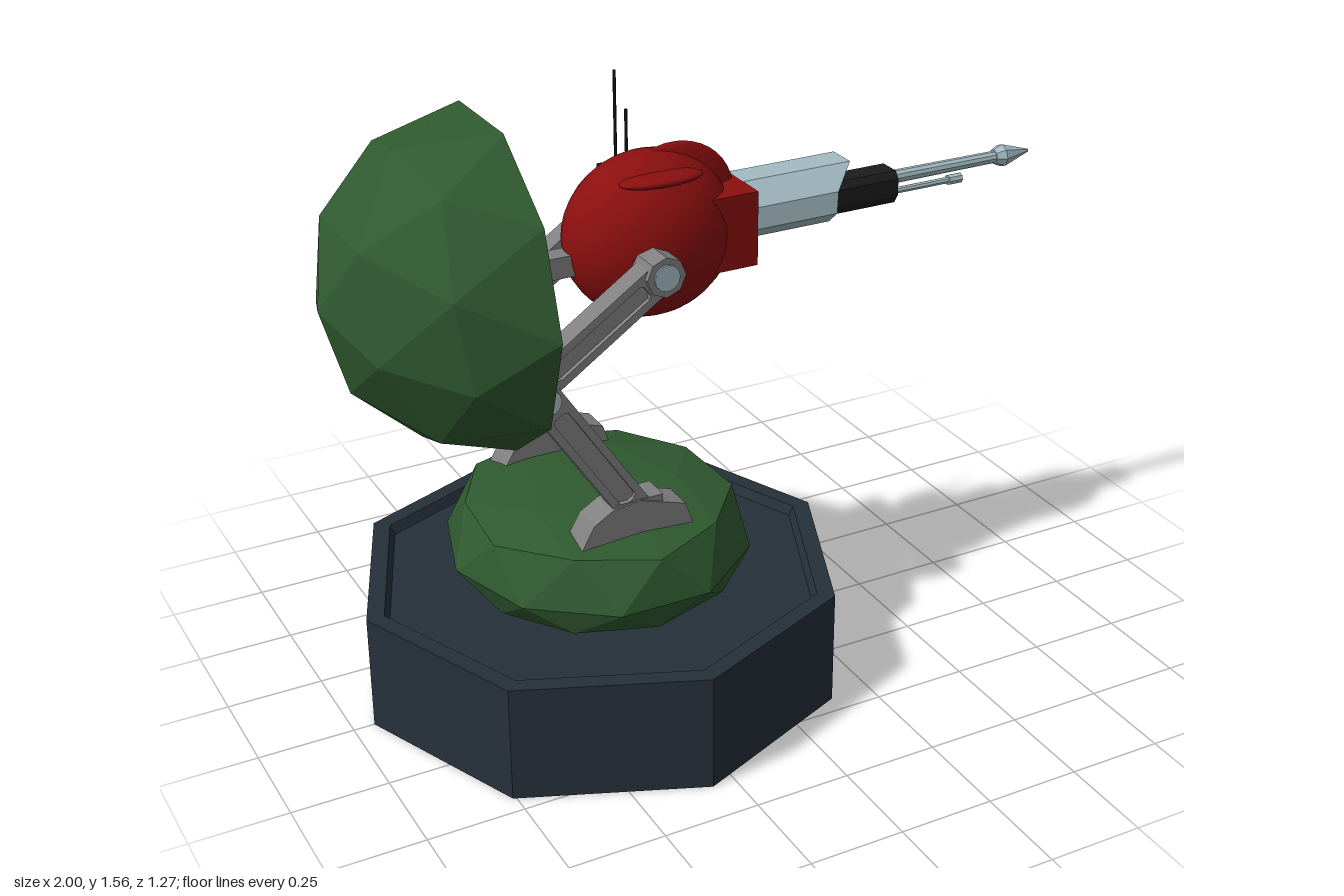
import * as THREE from 'three';

const mat = (color, flatShading = true, side = THREE.FrontSide) =>
  new THREE.MeshStandardMaterial({ color, flatShading, side });
const GREEN = 0x305a30, RED = 0x8c0f0f, NAVY = 0x26303a, STEEL = 0xa3bcc3, BLACK = 0x1c1c1c, GREY = 0x808080;
const MID = -0.015; // z of the body's centre plane

function add(parent, name, geometry, material, x = 0, y = 0, z = 0) {
  const mesh = new THREE.Mesh(geometry, material);
  mesh.name = name;
  mesh.position.set(x, y, z);
  parent.add(mesh);
  return mesh;
}

const polygon = (pts) => new THREE.Shape(pts.map(([x, y]) => new THREE.Vector2(x, y)));

function extrude(shape, depth) {
  return new THREE.ExtrudeGeometry(shape, { depth, bevelEnabled: false });
}

// Rod along x between x0 and x1
function rodX(r0, r1, x0, x1, sides) {
  return new THREE.CylinderGeometry(r1, r0, x1 - x0, sides).rotateZ(-Math.PI / 2).translate((x0 + x1) / 2, 0, 0);
}

// Faceted unit ball with a corner at the top, so its equator is a flat ten-sided ring
function facetBall() {
  return new THREE.IcosahedronGeometry(1, 1).rotateX(-Math.atan((1 + Math.sqrt(5)) / 2));
}

// Upper half of the faceted ball
function facetBowl(radius) {
  const p = facetBall().attributes.position;
  const kept = [];
  for (let i = 0; i < p.count; i += 3) {
    if (p.getY(i) + p.getY(i + 1) + p.getY(i + 2) < 0) continue;
    for (let j = i; j < i + 3; j++) kept.push(p.getX(j) * radius, p.getY(j) * radius, p.getZ(j) * radius);
  }
  const g = new THREE.BufferGeometry();
  g.setAttribute('position', new THREE.Float32BufferAttribute(kept, 3));
  g.computeVertexNormals();
  return g;
}

// Beam from a to b with a recessed panel on both faces
function limb(parent, name, a, b, width, depth, z) {
  const g = new THREE.Group();
  g.name = name;
  const dx = b[0] - a[0], dy = b[1] - a[1];
  const len = Math.hypot(dx, dy) + 0.05;
  const rect = (w, h, c) => [[-w + c, -h], [w - c, -h], [w, -h + c], [w, h - c], [w - c, h], [-w + c, h], [-w, h - c], [-w, -h + c]];
  const frame = polygon(rect(len / 2, width / 2, 0.02));
  frame.holes.push(polygon(rect(len / 2 - 0.08, width / 2 - 0.02, 0.008).reverse()));
  add(g, name + 'Frame', extrude(frame, depth).translate(0, 0, -depth / 2), mat(GREY));
  add(g, name + 'Panel', new THREE.BoxGeometry(len - 0.14, width - 0.03, depth - 0.024), mat(GREY));
  g.position.set((a[0] + b[0]) / 2, (a[1] + b[1]) / 2, z);
  g.rotation.z = Math.atan2(dy, dx);
  parent.add(g);
}

function pin(parent, name, r, depth, color, [x, y], z, sides = 12) {
  add(parent, name, new THREE.CylinderGeometry(r, r, depth, sides).rotateX(Math.PI / 2), mat(color), x, y, z);
}

function createBase(root) {
  const profile = [[0, 0], [0.635, 0], [0.635, 0.31], [0.588, 0.31], [0.575, 0.285], [0, 0.285]];
  const plinth = new THREE.LatheGeometry(profile.map(([x, y]) => new THREE.Vector2(x, y)), 8);
  add(root, 'octagonBase', plinth, mat(NAVY), -0.31, 0, 0);

  // Squashed mound, fuller above its widest ring
  const mound = facetBall();
  const p = mound.attributes.position;
  for (let i = 0; i < p.count; i++) {
    const v = p.getY(i);
    p.setXYZ(i, p.getX(i) * 0.392, 0.385 + 0.165 * (v > 0.001 ? v ** 0.45 : v), p.getZ(i) * 0.413);
  }
  mound.computeVertexNormals();
  add(root, 'mound', mound, mat(GREEN), -0.31, 0, 0);
}

function createShield(root) {
  const shield = new THREE.Group();
  shield.name = 'shield';
  add(shield, 'shieldOuter', facetBowl(0.425), mat(GREEN));
  add(shield, 'shieldInner', facetBowl(0.408), mat(GREEN, true, THREE.BackSide));
  add(shield, 'shieldRim', new THREE.RingGeometry(0.408, 0.425, 10).rotateX(Math.PI / 2), mat(GREEN));
  const turn = new THREE.Matrix4().makeBasis(
    new THREE.Vector3(0, 0, 1), new THREE.Vector3(-1, 0, 0), new THREE.Vector3(0, -1, 0));
  shield.quaternion.setFromRotationMatrix(turn);
  shield.position.set(-0.575, 1.155, -0.01);
  root.add(shield);
  add(root, 'shieldStrut', new THREE.BoxGeometry(0.66, 0.056, 0.056), mat(GREY), -0.62, 1.15, -0.018);
}

function createLegs(root) {
  const shoulder = [-0.21, 1.165], knee = [-0.55, 0.935], ankle = [-0.31, 0.57];
  const footShape = polygon([[-0.5, 0.47], [-0.44, 0.575], [-0.39, 0.605], [-0.315, 0.615], [-0.19, 0.575],
    [-0.16, 0.49], [-0.2, 0.465], [-0.25, 0.5], [-0.36, 0.5], [-0.42, 0.46]]);
  for (const s of [1, -1]) {
    const leg = new THREE.Group();
    leg.name = s > 0 ? 'leftLeg' : 'rightLeg';
    leg.position.z = -0.012;
    limb(leg, 'upperArm', knee, shoulder, 0.085, 0.06, s * 0.182);
    limb(leg, 'lowerLeg', ankle, knee, 0.085, 0.058, s * 0.243);
    pin(leg, 'shoulderJoint', 0.052, 0.09, GREY, shoulder, s * 0.18, 8);
    pin(leg, 'shoulderCap', 0.034, 0.1, STEEL, shoulder, s * 0.18);
    pin(leg, 'kneePin', 0.034, 0.135, STEEL, knee, s * 0.213);
    add(leg, 'foot', extrude(footShape, 0.085), mat(GREY), 0, 0, s * 0.236 - 0.0425);
    add(leg, 'ankleBlock', new THREE.BoxGeometry(0.13, 0.08, 0.075), mat(GREY), -0.315, 0.575, s * 0.236);
    root.add(leg);
  }
}

function createBody(root) {
  const ellipsoid = (rx, ry, rz) => new THREE.SphereGeometry(1, 32, 20).scale(rx, ry, rz);
  const red = mat(RED, false);
  add(root, 'body', ellipsoid(0.225, 0.213, 0.166), red, -0.145, 1.188, MID);
  add(root, 'crest', ellipsoid(0.17, 0.16, 0.032), red, -0.075, 1.252, MID);
  add(root, 'brow', ellipsoid(0.11, 0.018, 0.055), red, -0.15, 1.357, 0.07).rotation.x = -0.12;
  add(root, 'snout', new THREE.BoxGeometry(0.18, 0.195, 0.235), mat(RED), 0.01, 1.193, MID);

  // Radio box with two aerials
  add(root, 'radioBox', new THREE.BoxGeometry(0.1, 0.042, 0.05), mat(BLACK), -0.15, 1.3, -0.162);
  for (const [x, top] of [[-0.16, 1.565], [-0.13, 1.46]]) {
    add(root, 'aerial', new THREE.CylinderGeometry(0.004, 0.004, top - 1.3, 6), mat(BLACK), x, (top + 1.3) / 2, -0.16);
  }
}

function createGun(root) {
  // Arched shroud whose roof runs forward to a pointed visor
  const half = [[0.068, 1.15], [0.107, 1.185], [0.1, 1.24], [0.04, 1.29]];
  const inner = [[0.035, 1.262], [0.075, 1.232], [0.082, 1.195]];
  const mirror = (pts) => pts.map(([z, y]) => [-z, y]).reverse();
  const arch = polygon([...half, ...mirror(half), ...mirror(inner).map((q) => q), ...inner.slice().map((q) => q)]);
  const shroud = extrude(arch, 0.25).rotateY(Math.PI / 2);
  const p = shroud.attributes.position;
  for (let i = 0; i < p.count; i++) {
    const lift = THREE.MathUtils.clamp((p.getY(i) - 1.235) / 0.055, 0, 1);
    if (p.getX(i) > 0.1) p.setX(i, 0.245 + 0.075 * lift);
  }
  shroud.computeVertexNormals();
  add(root, 'gunShroud', shroud, mat(STEEL, true, THREE.DoubleSide), 0.09, 0, MID);

  const block = polygon([[-0.028, 1.145], [0.028, 1.145], [0.044, 1.17], [0.044, 1.215], [0.03, 1.233],
    [-0.03, 1.233], [-0.044, 1.215], [-0.044, 1.17]]);
  add(root, 'gunBlock', extrude(block, 0.47).rotateY(Math.PI / 2), mat(BLACK), 0.09, 0, -0.02);

  const steel = mat(STEEL);
  add(root, 'mainBarrel', rodX(0.018, 0.016, 0.54, 0.92, 10), steel, 0, 1.203, -0.022);
  add(root, 'tipCollar', rodX(0.02, 0.031, 0.89, 0.915, 8), steel, 0, 1.203, -0.022);
  add(root, 'tip', rodX(0.031, 0.004, 0.915, 1, 8), steel, 0, 1.203, -0.022);
  add(root, 'lowerBarrel', rodX(0.009, 0.009, 0.54, 0.76, 8), steel, 0, 1.163, -0.022);
  add(root, 'lowerMuzzle', rodX(0.014, 0.014, 0.745, 0.785, 8), steel, 0, 1.163, -0.022);
}

export function createModel() {
  const root = new THREE.Group();
  root.name = 'walkerTurret';
  createBase(root);
  createShield(root);
  createLegs(root);
  createBody(root);
  createGun(root);
  return root;
}
